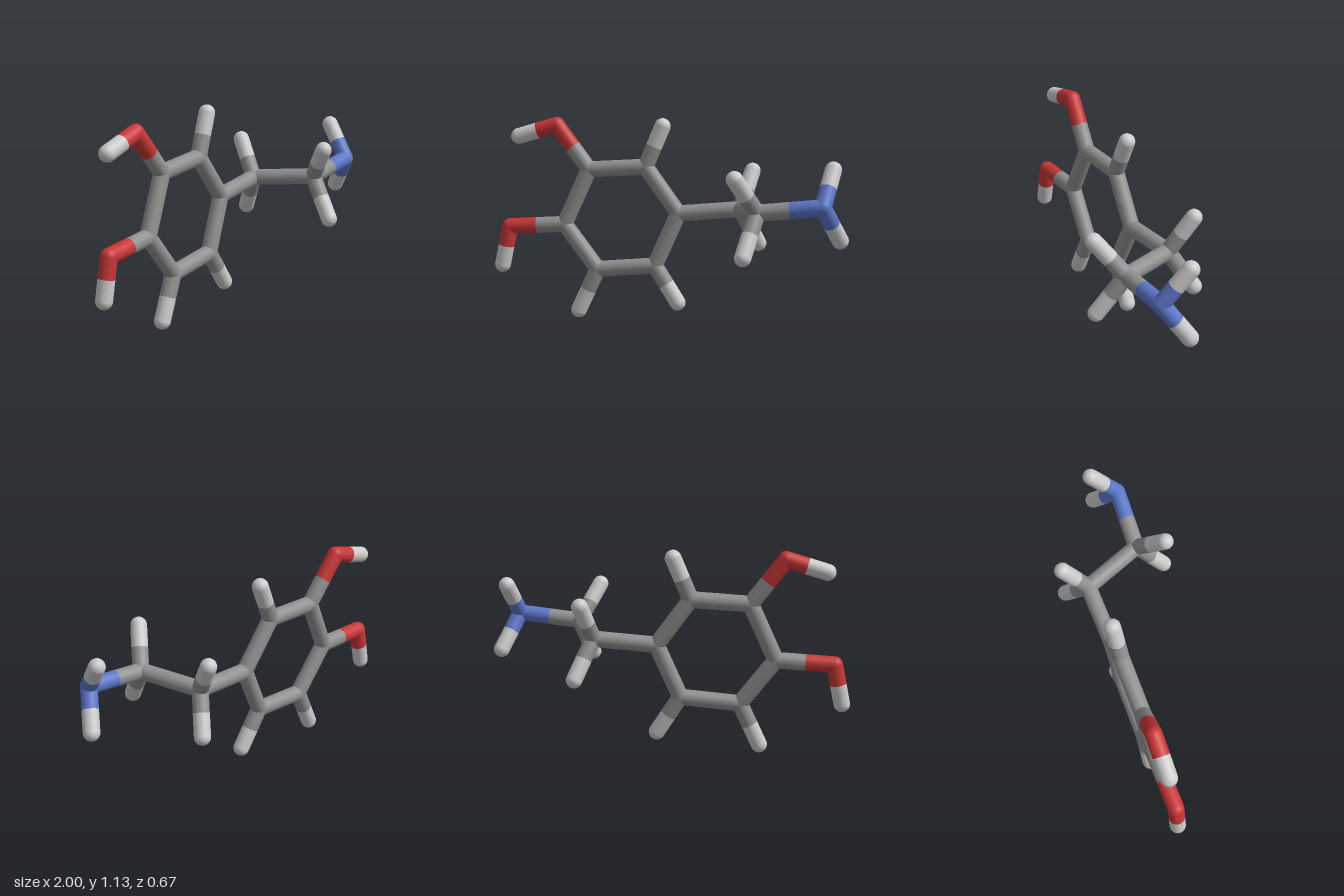
import * as THREE from 'three';

const RADIUS = 0.045;

// Atoms: element and centre
const ATOMS = {
  // six-sided ring
  c1: ['carbon', 0.035, 0.605, -0.084],
  c2: ['carbon', -0.15, 0.86, -0.061],
  c3: ['carbon', -0.465, 0.84, 0.0],
  c4: ['carbon', -0.6, 0.53, 0.041],
  c5: ['carbon', -0.41, 0.28, 0.017],
  c6: ['carbon', -0.09, 0.31, -0.045],
  h2: ['hydrogen', -0.06, 1.085, -0.09],
  h5: ['hydrogen', -0.515, 0.045, 0.045],
  h6: ['hydrogen', 0.04, 0.105, -0.06],
  // two oxygen arms
  o3: ['oxygen', -0.65, 1.085, 0.02],
  ho3: ['hydrogen', -0.865, 1.02, 0.06],
  o4: ['oxygen', -0.91, 0.51, 0.105],
  ho4: ['hydrogen', -0.955, 0.29, 0.115],
  // side chain
  c7: ['carbon', 0.37, 0.635, -0.16],
  h7a: ['hydrogen', 0.4, 0.835, -0.29],
  h7b: ['hydrogen', 0.44, 0.43, -0.285],
  c8: ['carbon', 0.55, 0.665, 0.14],
  h8a: ['hydrogen', 0.47, 0.855, 0.285],
  h8b: ['hydrogen', 0.52, 0.45, 0.293],
  n: ['nitrogen', 0.888, 0.703, 0.088],
  hna: ['hydrogen', 0.908, 0.885, -0.055],
  hnb: ['hydrogen', 0.955, 0.513, -0.043],
};

const BONDS = [
  ['c1', 'c2'], ['c2', 'c3'], ['c3', 'c4'], ['c4', 'c5'], ['c5', 'c6'], ['c6', 'c1'],
  ['c2', 'h2'], ['c5', 'h5'], ['c6', 'h6'],
  ['c3', 'o3'], ['o3', 'ho3'], ['c4', 'o4'], ['o4', 'ho4'],
  ['c1', 'c7'], ['c7', 'h7a'], ['c7', 'h7b'], ['c7', 'c8'],
  ['c8', 'h8a'], ['c8', 'h8b'], ['c8', 'n'], ['n', 'hna'], ['n', 'hnb'],
];

export function createModel() {
  const model = new THREE.Group();
  model.name = 'stickMolecule';

  const materials = {};
  const colors = { carbon: 0x909090, hydrogen: 0xcacaca, oxygen: 0xc83636, nitrogen: 0x5c76c8 };
  for (const [name, color] of Object.entries(colors)) {
    materials[name] = new THREE.MeshStandardMaterial({ color });
    materials[name].name = name;
  }

  const ball = new THREE.SphereGeometry(RADIUS, 24, 16);
  const rod = new THREE.CylinderGeometry(RADIUS, RADIUS, 1, 24, 1, true);
  const up = new THREE.Vector3(0, 1, 0);
  const centre = (id) => new THREE.Vector3(...ATOMS[id].slice(1));

  // Rounded joint or tip at every atom
  for (const id of Object.keys(ATOMS)) {
    const element = ATOMS[id][0];
    const joint = new THREE.Mesh(ball, materials[element]);
    joint.name = `${element}Joint`;
    joint.position.copy(centre(id));
    model.add(joint);
  }

  // Each bond is two half rods, coloured by the nearer atom
  function addHalfRod(id, middle) {
    const element = ATOMS[id][0];
    const start = centre(id);
    const span = middle.clone().sub(start);
    const half = new THREE.Mesh(rod, materials[element]);
    half.name = `${element}HalfRod`;
    half.position.copy(start).add(middle).multiplyScalar(0.5);
    half.scale.y = span.length();
    half.quaternion.setFromUnitVectors(up, span.normalize());
    model.add(half);
  }
  for (const [a, b] of BONDS) {
    const middle = centre(a).lerp(centre(b), 0.5);
    addHalfRod(a, middle);
    addHalfRod(b, middle);
  }

  return model;
}
